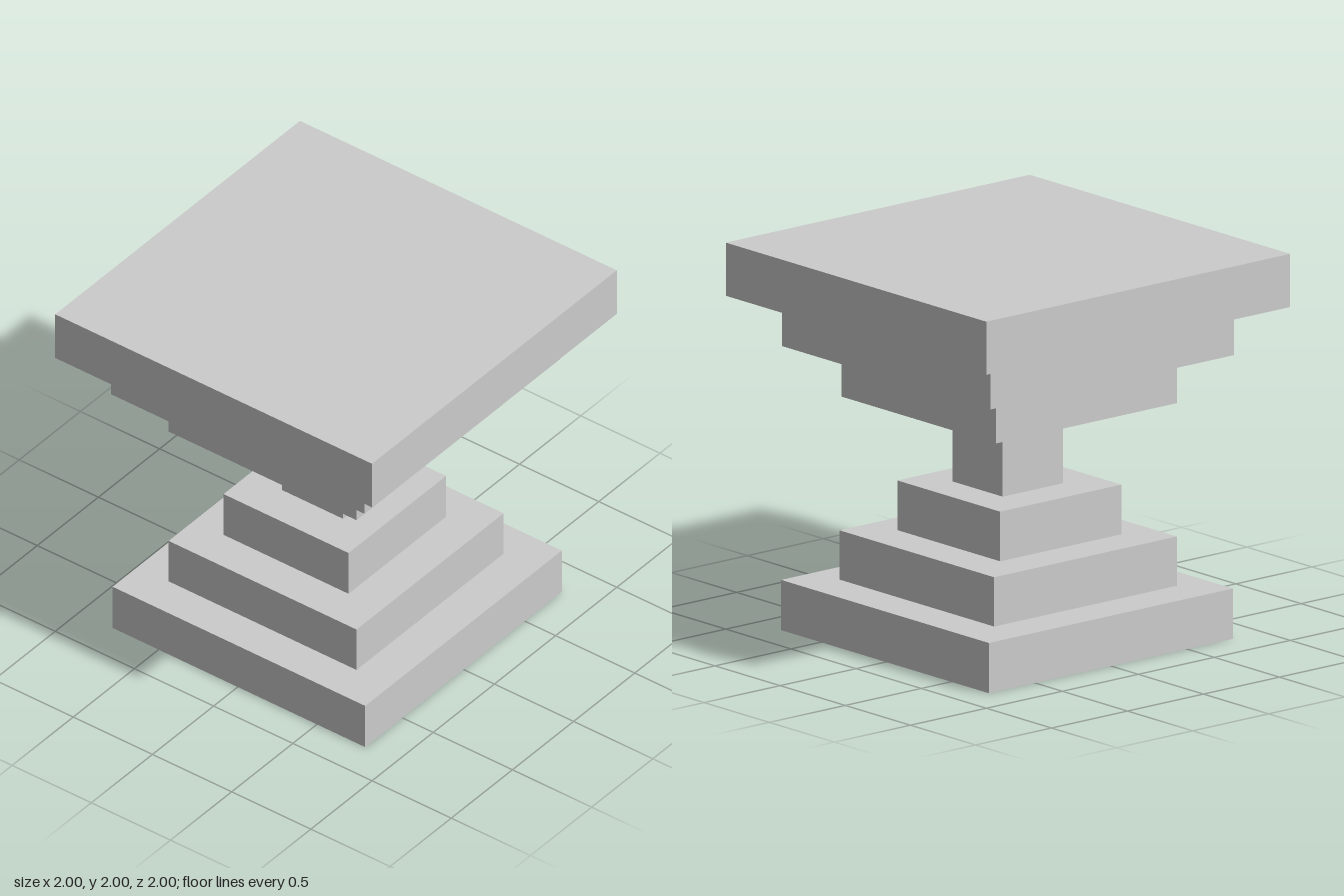
import * as THREE from 'three';

export function createModel() {
  const group = new THREE.Group();
  group.name = 'steppedPedestal';
  const material = new THREE.MeshStandardMaterial({ color: 0xcccccc, flatShading: true });

  // Square slabs from the ground up: name, x range, y range, z range
  const slabs = [
    ['baseLowerStep', [-0.79, 0.805], [0, 0.26], [-0.803, 0.803]],
    ['baseMiddleStep', [-0.59, 0.597], [0.268, 0.523], [-0.597, 0.605]],
    ['baseUpperStep', [-0.397, 0.392], [0.53, 0.787], [-0.392, 0.405]],
    ['column', [-0.187, 0.2], [0.787, 1.213], [-0.195, 0.2]],
    ['capitalLowerStep', [-0.59, 0.597], [1.213, 1.47], [-0.585, 0.605]],
    ['capitalMiddleStep', [-0.8, 0.8], [1.47, 1.725], [-0.8, 0.803]],
    ['tableTop', [-1, 1], [1.725, 2], [-1, 1]],
  ];

  for (const [name, ...ranges] of slabs) {
    const size = ranges.map(([lo, hi]) => hi - lo);
    const centre = ranges.map(([lo, hi]) => (lo + hi) / 2);
    const mesh = new THREE.Mesh(new THREE.BoxGeometry(...size), material);
    mesh.name = name;
    mesh.position.set(...centre);
    group.add(mesh);
  }
  return group;
}
